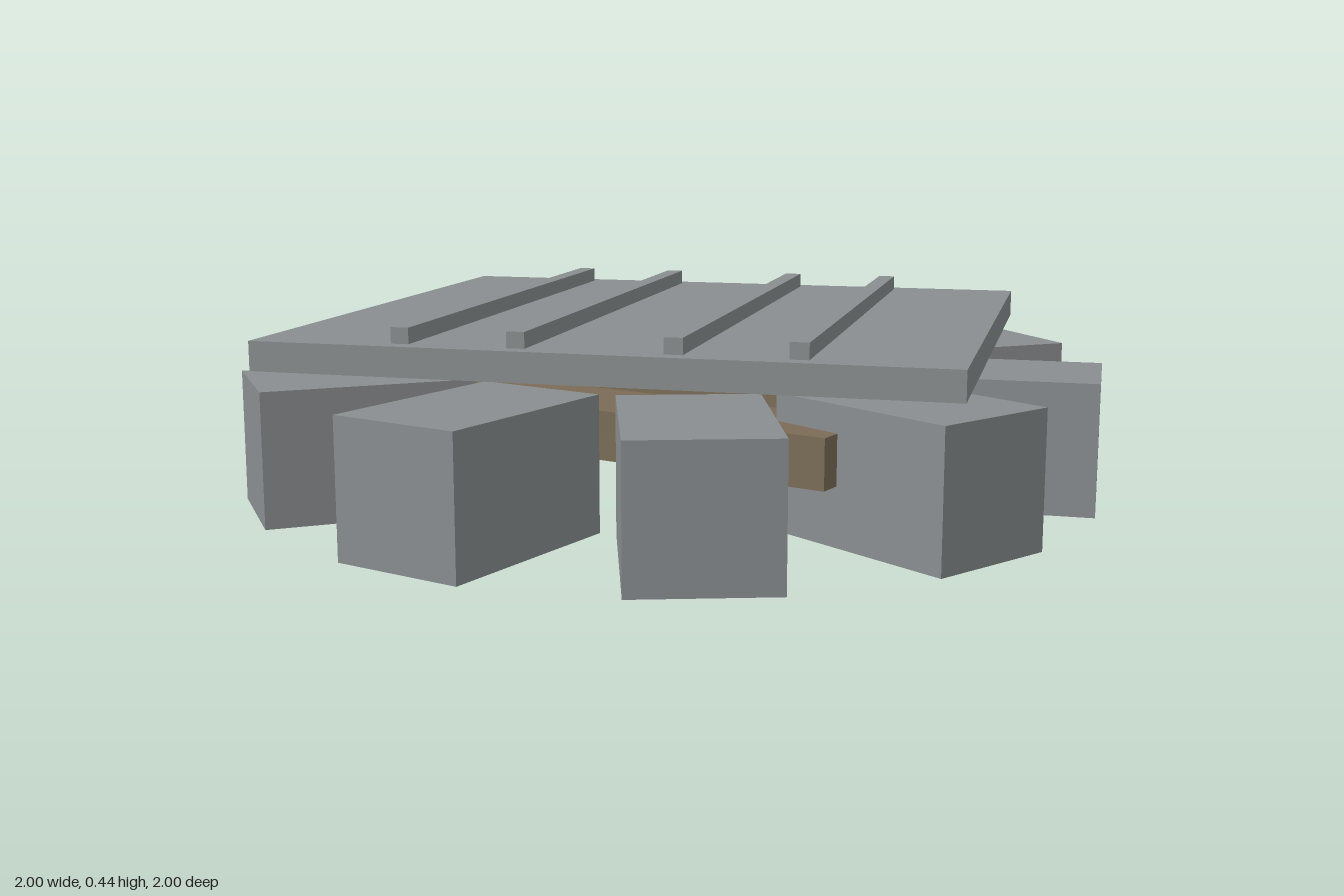
import * as THREE from 'three';

const concrete = new THREE.MeshStandardMaterial({ color: 0x8a8e90 });
concrete.name = 'concrete grey';
const timber = new THREE.MeshStandardMaterial({ color: 0x7a6c57 });
timber.name = 'timber brown';

function addBox(parent, name, material, size, position) {
  const mesh = new THREE.Mesh(new THREE.BoxGeometry(...size), material);
  mesh.name = name;
  mesh.position.set(...position);
  parent.add(mesh);
  return mesh;
}

export function createModel() {
  const model = new THREE.Group();
  model.name = 'bunker';

  // Ring of ten radial wall blocks
  const wall = new THREE.Group();
  wall.name = 'wall';
  for (let i = 0; i < 10; i++) {
    const spoke = new THREE.Group();
    spoke.name = 'wallSegment';
    spoke.rotation.y = -i * Math.PI / 5;
    addBox(spoke, 'wallBlock', concrete, [0.47, 0.3, 0.306], [0.765, 0.15, 0]);
    wall.add(spoke);
  }
  model.add(wall);

  // Two parallel benches inside, set at a slant between the blocks
  const benches = new THREE.Group();
  benches.name = 'benches';
  benches.rotation.y = -Math.PI / 10;
  for (const side of [-1, 1]) {
    addBox(benches, 'bench', timber, [1.26, 0.11, 0.24], [0, 0.185, side * 0.3]);
  }
  model.add(benches);

  // Flat roof slab with four ribs
  const roof = new THREE.Group();
  roof.name = 'roof';
  addBox(roof, 'roofSlab', concrete, [1.51, 0.065, 1.37], [0, 0.3725, 0]);
  for (const x of [-0.425, -0.168, 0.168, 0.425]) {
    addBox(roof, 'roofRib', concrete, [0.04, 0.035, 1.29], [x, 0.4225, 0]);
  }
  model.add(roof);

  return model;
}
